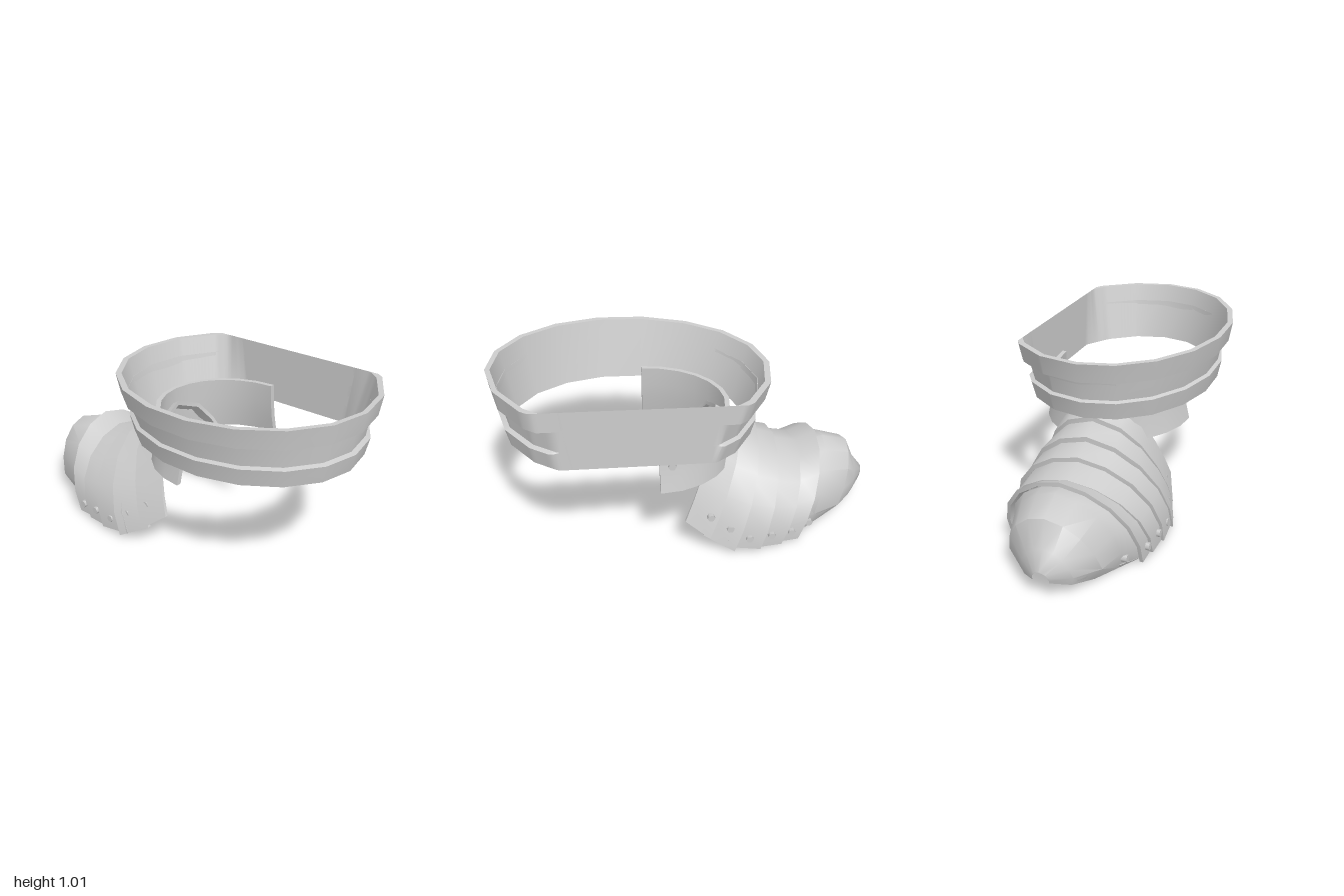
import * as THREE from 'three';
import { toCreasedNormals } from 'three/addons/utils/BufferGeometryUtils.js';

const steel = new THREE.MeshStandardMaterial({ color: 0xcccccc, side: THREE.DoubleSide });
steel.name = 'steel grey';

const lerp = THREE.MathUtils.lerp;

// Skin a sequence of closed cross-section loops; open sweeps are capped at both ends
function sweep(name, loops, closed, crease = 0.7) {
  const n = loops[0].length;
  if (!closed) {
    const cap = (loop) => {
      const c = loop.reduce((s, p) => s.add(p), new THREE.Vector3()).divideScalar(n);
      return loop.map(() => c);
    };
    loops = [cap(loops[0]), ...loops, cap(loops[loops.length - 1])];
  }
  const pos = [], idx = [], m = loops.length;
  loops.forEach((l) => l.forEach((p) => pos.push(p.x, p.y, p.z)));
  for (let i = 0; i < (closed ? m : m - 1); i++) {
    for (let j = 0; j < n; j++) {
      const a = i * n + j, b = i * n + (j + 1) % n;
      const c = ((i + 1) % m) * n + j, d = ((i + 1) % m) * n + (j + 1) % n;
      idx.push(a, b, c, b, d, c);
    }
  }
  const g = new THREE.BufferGeometry();
  g.setAttribute('position', new THREE.Float32BufferAttribute(pos, 3));
  g.setIndex(idx);
  const mesh = new THREE.Mesh(toCreasedNormals(g, crease), steel);
  mesh.name = name;
  return mesh;
}

// Tilted oval collar, cut flat on its left
function collar() {
  // [height at the front, half width, front z, back z]
  const profile = [
    [1.015, 0.56, 1.0, -0.40], [0.912, 0.54, 0.985, -0.375],
    [0.922, 0.51, 0.955, -0.34], [0.80, 0.485, 0.94, -0.315],
    [0.792, 0.505, 0.965, -0.335], [0.70, 0.485, 0.945, -0.31],
    [0.703, 0.455, 0.915, -0.28], [1.015, 0.53, 0.975, -0.37],
  ];
  const sides = 18, loops = [];
  for (let k = 0; k < sides; k++) {
    const a = (k / sides) * Math.PI * 2, b = ((k + 1) / sides) * Math.PI * 2;
    // Only the sides near the flat cut need finer steps
    const sub = Math.max(Math.sin(a), Math.sin(b)) > 0.55 ? 10 : 1;
    for (let i = 0; i < sub; i++) {
      const s = lerp(Math.sin(a), Math.sin(b), i / sub), c = lerp(Math.cos(a), Math.cos(b), i / sub);
      loops.push(profile.map(([y, w, zf, zb]) => {
        const z = (zf + zb) / 2 + c * (zf - zb) / 2;
        const x = 0.07 + w * s * (s > 0 ? 1.08 : 1);
        return new THREE.Vector3(Math.min(x, 0.483), y - 0.057 * (1 - z), z);
      }));
    }
  }
  return sweep('collar', loops, true);
}

// Curved guard around the back of the ankle, open at the front
function ankleGuard() {
  // [height, half width, depth]
  const profile = [
    [0.485, 0.40, 0.42], [0.58, 0.378, 0.415], [0.67, 0.364, 0.412], [0.775, 0.355, 0.41],
    [0.775, 0.33, 0.385], [0.67, 0.338, 0.387], [0.58, 0.352, 0.39], [0.485, 0.374, 0.395],
  ];
  const loops = [];
  for (let i = 12; i >= 0; i--) {
    const a = (i / 12) * Math.PI;
    loops.push(profile.map(([y, w, d]) => new THREE.Vector3(
      0.08 + w * Math.cos(a), y - 0.055 * d * Math.sin(a), 0.215 - d * Math.sin(a))));
  }
  return sweep('ankleGuard', loops, false);
}

// Half-arch outlines [across, up]: pointed at the ankle, round toward the toe
const POINTED = [[0, 1], [0.42, 0.89], [0.64, 0.7], [0.82, 0.42], [0.93, 0.2], [1, 0]];
const ROUND = [[0, 1], [0.36, 0.93], [0.68, 0.76], [0.9, 0.52], [1, 0.25], [1, 0]];

// Arched plate through sections
// [peak z, peak y, foot z, foot y, half width, centre x, roundness, inward tuck of the foot]
function archPlate(name, sections) {
  const loops = [];
  for (let i = 5; i >= -5; i--) {
    const k = Math.abs(i), side = Math.sign(i);
    const at = (scale) => ([zp, yp, zb, yb, w, cx, r, tuck = 0]) => {
      const u = lerp(POINTED[k][0], ROUND[k][0], r) - (k === 5 ? tuck : 0);
      const v = lerp(POINTED[k][1], ROUND[k][1], r);
      return new THREE.Vector3(cx + side * u * w * scale, lerp(yb, yp, v * scale), lerp(zb, zp, v));
    };
    loops.push([...sections.map(at(1)), ...sections.map(at(0.95)).reverse()]);
  }
  return sweep(name, loops, false);
}

export function createModel() {
  const model = new THREE.Group();
  model.name = 'footArmour';
  model.add(collar(), ankleGuard());

  // Overlapping instep plates
  const plates = [
    [[-0.13, 0.70, 0.08, 0.21, 0.325, 0.057, 0], [-0.255, 0.615, -0.045, 0.105, 0.37, 0.045, 0.4]],
    [[-0.23, 0.595, -0.01, 0.12, 0.355, 0.045, 0.4], [-0.355, 0.545, -0.17, 0.025, 0.408, 0.036, 0.8]],
    [[-0.32, 0.522, -0.12, 0.05, 0.392, 0.036, 0.8], [-0.455, 0.475, -0.31, 0.018, 0.405, 0.035, 1]],
    [[-0.42, 0.455, -0.26, 0.018, 0.39, 0.035, 1], [-0.585, 0.412, -0.43, 0.015, 0.385, 0.03, 1]],
    [[-0.55, 0.40, -0.39, 0.015, 0.372, 0.03, 1], [-0.60, 0.415, -0.44, 0.013, 0.365, 0.027, 1],
      [-0.695, 0.455, -0.53, 0.012, 0.363, 0.022, 1]],
  ];
  plates.forEach((s, i) => model.add(archPlate('instepPlate' + (i + 1), s)));

  // Toe cap narrowing to a small notch at the tip
  model.add(archPlate('toeCap', [
    [-0.64, 0.405, -0.49, 0.015, 0.345, 0.024, 1],
    [-0.74, 0.418, -0.60, 0.003, 0.29, 0.02, 1, 0.08],
    [-0.885, 0.365, -0.76, 0.02, 0.245, 0.005, 0.9, 0.22],
    [-0.94, 0.24, -0.90, 0.06, 0.135, -0.012, 0.9, 0.1],
    [-1.0, 0.16, -0.98, 0.10, 0.045, -0.02, 1],
  ]));

  // Hexagonal rivets in pairs: [left x, right x, y, z]
  const rivetGeo = new THREE.CylinderGeometry(0.02, 0.02, 0.03, 6).rotateZ(Math.PI / 2);
  const rivets = [
    [0.445, -0.28, 0.62, 0.155], [0.395, -0.275, 0.235, -0.05], [0.412, -0.325, 0.16, -0.15],
    [0.431, -0.356, 0.095, -0.25], [0.425, -0.358, 0.095, -0.37], [0.398, -0.345, 0.08, -0.485],
    [0.315, -0.275, 0.065, -0.605],
  ];
  rivets.forEach(([xl, xr, y, z], i) => [xl, xr].forEach((x, j) => {
    const rivet = new THREE.Mesh(rivetGeo, steel);
    rivet.name = (j ? 'rightRivet' : 'leftRivet') + (i + 1);
    rivet.position.set(x, y, z);
    model.add(rivet);
  }));
  return model;
}
